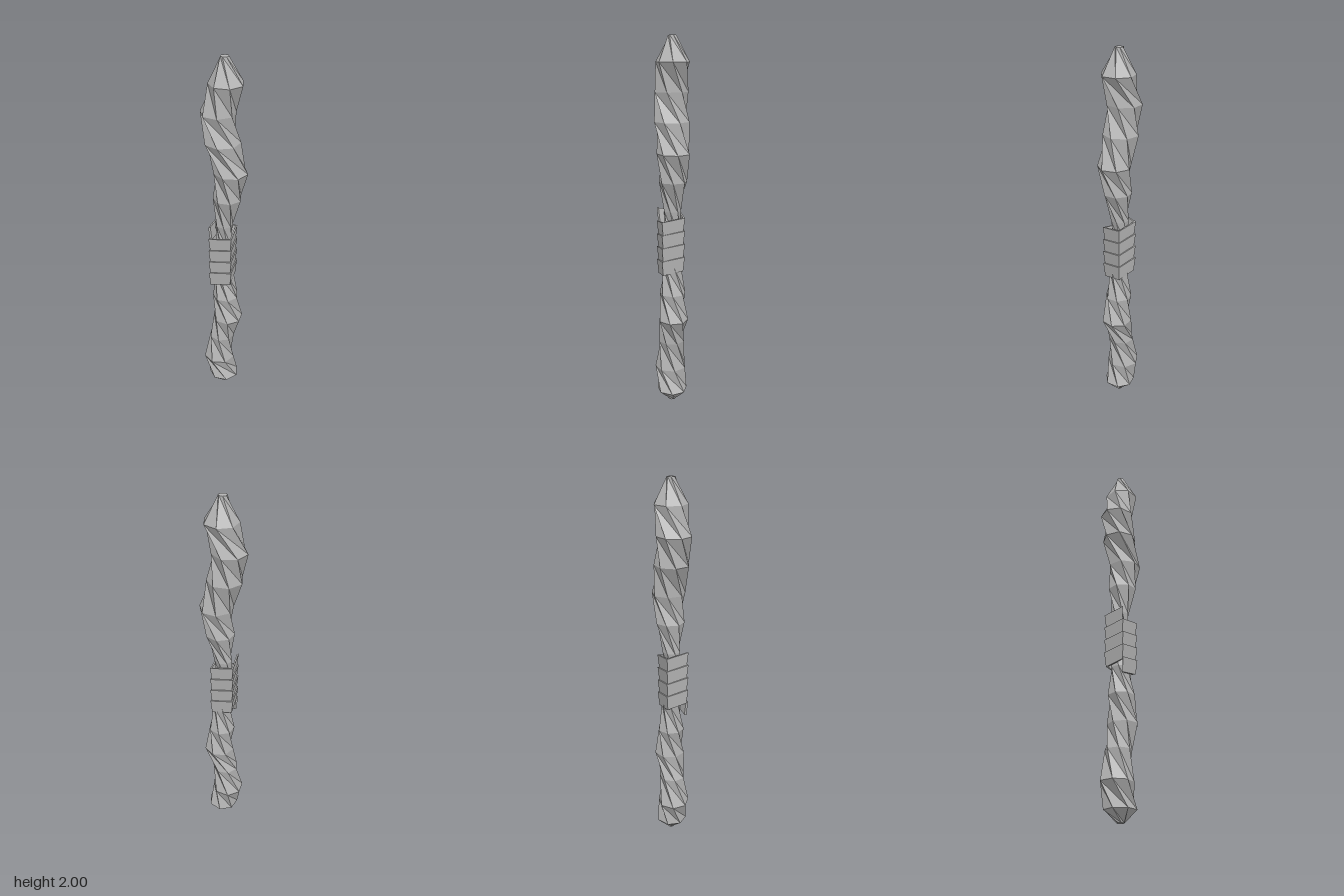
import * as THREE from 'three';

const SIDES = 7;
const STEP = (2 * Math.PI) / SIDES;

// Flat-shaded geometry from a list of convex polygons
function fromPolygons(polygons) {
  const pos = [];
  for (const p of polygons)
    for (let i = 1; i < p.length - 1; i++) pos.push(...p[0], ...p[i], ...p[i + 1]);
  const g = new THREE.BufferGeometry();
  g.setAttribute('position', new THREE.Float32BufferAttribute(pos, 3));
  g.computeVertexNormals();
  return g;
}

// Gnarled shaft: seven-sided rings, each turned three quarters of a side
function shaftGeometry() {
  // [height, centre x, radius]
  const rings = [
    [0, 0, 0.02], [0.06, -0.003, 0.084], [0.19, -0.032, 0.087], [0.35, -0.017, 0.07],
    [0.49, 0.02, 0.082], [0.64, 0.006, 0.071], [0.79, 0, 0.052], [0.95, -0.003, 0.045],
    [1.1, -0.003, 0.047], [1.26, 0.015, 0.076], [1.41, 0.033, 0.089], [1.57, -0.012, 0.093],
    [1.72, -0.034, 0.091], [1.87, 0.008, 0.089], [2, 0, 0.022],
  ].map(([y, cx, r], k) => Array.from({ length: SIDES }, (_, i) => {
    const a = (i + (k - 10) * 0.75) * STEP;
    return [cx + r * Math.cos(a), y, r * Math.sin(a)];
  }));

  const polys = [];
  for (let k = 0; k < rings.length - 1; k++) {
    const lo = rings[k], up = rings[k + 1];
    for (let i = 0; i < SIDES; i++) {
      const n = (i + 1) % SIDES;
      polys.push([lo[n], lo[i], up[n]], [lo[i], up[i], up[n]]);
    }
  }
  polys.push(rings[0], [...rings[rings.length - 1]].reverse());
  return fromPolygons(polys);
}

// Grip: a square helical band, each turn flaring slightly outwards
function gripGeometry() {
  const corners = [[-1, 1], [1, 1], [1, -1], [-1, -1]];
  const section = [[0.055, 0], [0.062, 0.08], [0.054, 0.08], [0.047, 0]];
  const turns = 4, pitch = 0.072, polys = [];
  const at = (j) => {
    const [sx, sz] = corners[j % 4];
    return section.map(([r, y]) => [-0.007 + sx * r, 0.738 + (j * pitch) / 4 + y, 0.007 + sz * r]);
  };
  for (let j = 0; j < turns * 4; j++) {
    const a = at(j), b = at(j + 1);
    for (let k = 0; k < 4; k++) {
      const n = (k + 1) % 4;
      polys.push([a[k], b[k], b[n], a[n]]);
    }
  }
  polys.push(at(0), at(turns * 4).reverse());
  return fromPolygons(polys);
}

export function createModel() {
  const grey = new THREE.MeshStandardMaterial({ color: 0xb4b4b4, flatShading: true });
  grey.name = 'grey';
  const model = new THREE.Group();
  model.name = 'twistedStaff';
  const add = (name, geometry) => {
    const mesh = new THREE.Mesh(geometry, grey);
    mesh.name = name;
    model.add(mesh);
  };
  add('shaft', shaftGeometry());
  add('gripWrap', gripGeometry());
  return model;
}
